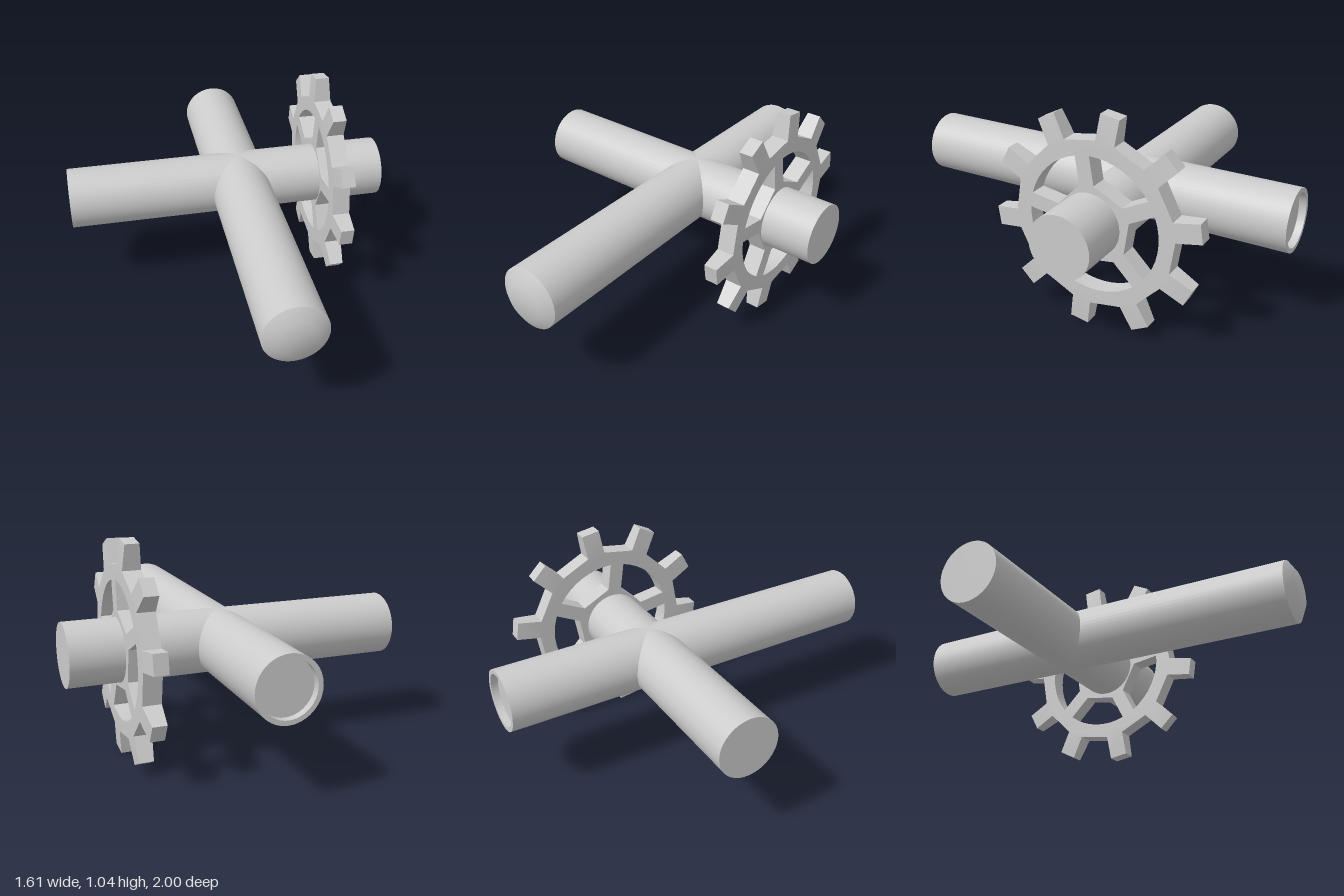
import * as THREE from 'three';
import { toCreasedNormals } from 'three/addons/utils/BufferGeometryUtils.js';

const material = new THREE.MeshStandardMaterial({ color: 0xcccccc });
const AXIS_Y = 0.52;
const TUBE_R = 0.15;
const deg = THREE.MathUtils.degToRad;

function part(name, geometry, x, y, z) {
  const mesh = new THREE.Mesh(geometry, material);
  mesh.name = name;
  mesh.position.set(x, y, z);
  return mesh;
}

// Long tube: recessed back end, rounded front cap
function longTubeGeometry() {
  const profile = [
    [0, -0.965], [0.128, -0.965], [0.128, -1], [TUBE_R, -1],
    [TUBE_R, 0.965], [0.09, 1], [0, 1],
  ].map(([r, y]) => new THREE.Vector2(r, y));
  const geometry = new THREE.LatheGeometry(profile, 48);
  geometry.rotateX(Math.PI / 2);
  return toCreasedNormals(geometry, 0.9);
}

// Ten-toothed wheel with five spokes, teeth thinning towards their tips
function gearGeometry() {
  const teeth = 10, spokes = 5;
  const root = 0.4, tip = 0.52, toothHalf = 0.046;
  const rim = 0.323, hubFlat = 0.17, spokeHalf = 0.036;
  const halfThick = 0.043;

  const outline = [];
  for (let i = 0; i < teeth; i++) {
    const a = deg(9 + (i * 360) / teeth);
    for (const [r, side] of [[root, -1], [tip, -1], [tip, 1], [root, 1]]) {
      const t = a + side * Math.asin(toothHalf / r);
      outline.push(new THREE.Vector2(r * Math.cos(t), r * Math.sin(t)));
    }
  }
  const shape = new THREE.Shape(outline);

  // Windows: flat at the hub, parallel to the spokes, arched at the rim
  for (let i = 0; i < spokes; i++) {
    const mid = deg(63 + (i * 360) / spokes);
    const half = Math.PI / spokes;
    const arc = half - Math.asin(spokeHalf / rim);
    const inner = hubFlat * Math.tan(half) - spokeHalf / Math.cos(half);
    const points = [[hubFlat, inner], [hubFlat, -inner]];
    for (let k = 0; k <= 8; k++) {
      const t = -arc + (2 * arc * k) / 8;
      points.push([rim * Math.cos(t), rim * Math.sin(t)]);
    }
    const origin = new THREE.Vector2();
    shape.holes.push(new THREE.Path(
      points.map(([x, y]) => new THREE.Vector2(x, y).rotateAround(origin, mid))));
  }

  const geometry = new THREE.ExtrudeGeometry(shape, {
    depth: halfThick * 2, bevelEnabled: false, steps: 1,
  });
  geometry.translate(0, 0, -halfThick);
  const pos = geometry.attributes.position;
  for (let i = 0; i < pos.count; i++) {
    if (Math.hypot(pos.getX(i), pos.getY(i)) > 0.5) pos.setZ(i, pos.getZ(i) * 0.77);
  }
  geometry.rotateY(Math.PI / 2);
  return toCreasedNormals(geometry, 0.35);
}

export function createModel() {
  const model = new THREE.Group();
  model.name = 'crossedTubesWithGear';

  model.add(part('longTube', longTubeGeometry(), 0.065, AXIS_Y, 0));

  const cross = new THREE.CylinderGeometry(TUBE_R, TUBE_R, 1.61, 48);
  cross.rotateZ(Math.PI / 2);
  model.add(part('crossTube', cross, 0, AXIS_Y, -0.225));

  model.add(part('gear', gearGeometry(), 0.512, AXIS_Y, -0.24));
  return model;
}
